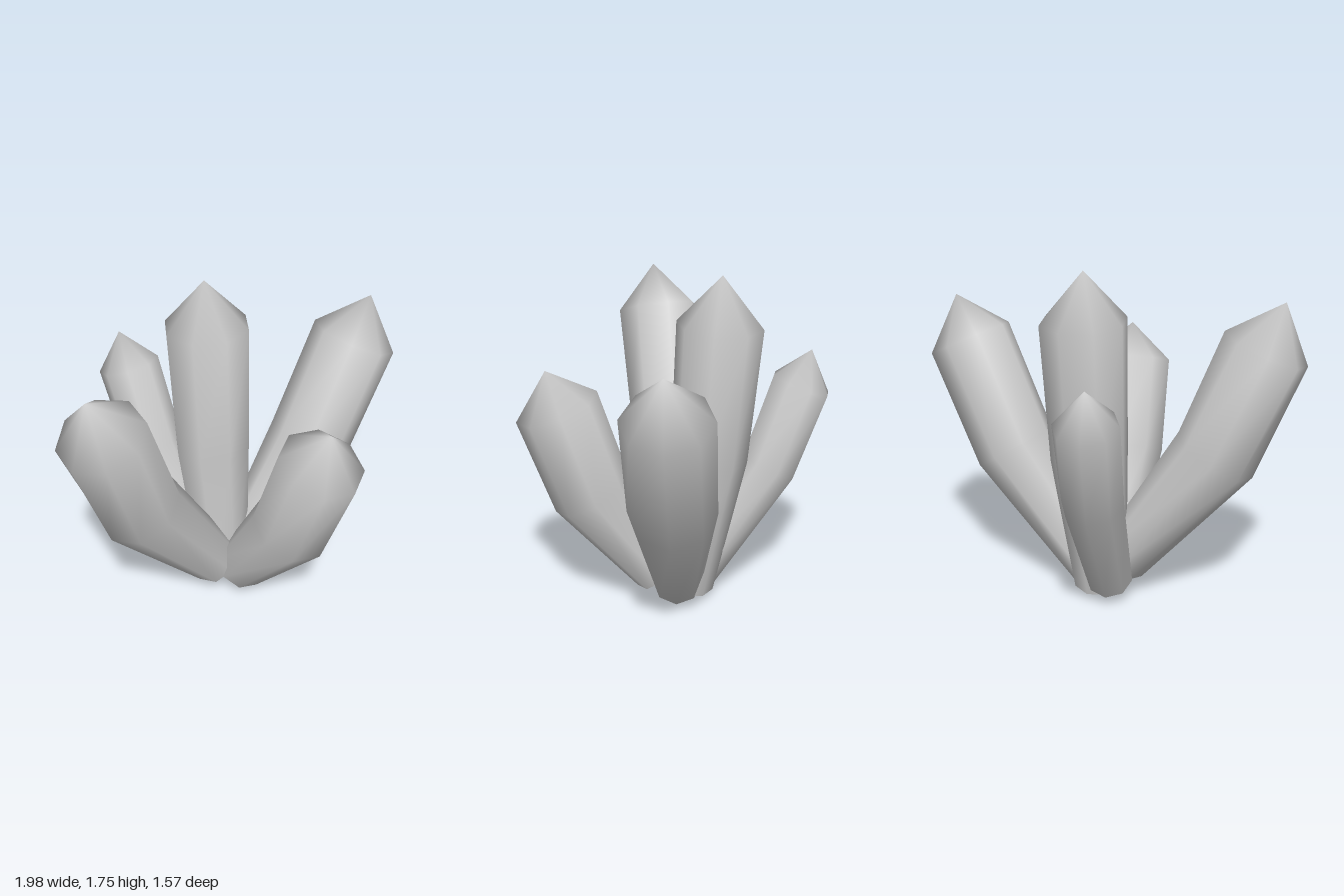
import * as THREE from 'three';

const SIDES = 8;

// One bent crystal: base, bend and shoulder rings [x, y, z, radius], then a pointed tip [x, y, z].
function crystalGeometry(rings, tip) {
  const centres = rings.map(([x, y, z]) => new THREE.Vector3(x, y, z));
  const dirs = centres.slice(1).map((c, i) => c.clone().sub(centres[i]).normalize());
  const pos = [];
  const idx = [];

  const addRing = (i) => {
    // ring lies square to the axis, halfway between both segments at the bend
    const before = dirs[Math.max(i - 1, 0)];
    const after = dirs[Math.min(i, dirs.length - 1)];
    const axis = before.clone().add(after).normalize();
    const side = new THREE.Vector3(0, 1, 0).cross(axis).normalize();
    const up = axis.clone().cross(side);
    for (let k = 0; k < SIDES; k++) {
      const a = (k / SIDES) * Math.PI * 2;
      const p = centres[i].clone()
        .addScaledVector(side, rings[i][3] * Math.cos(a))
        .addScaledVector(up, rings[i][3] * Math.sin(a));
      pos.push(p.x, p.y, p.z);
    }
  };

  rings.forEach((_, i) => addRing(i));
  const apex = pos.length / 3;
  pos.push(...tip);
  const cap = apex + 1; // separate ring keeps the base edge crisp
  addRing(0);
  const capCentre = pos.length / 3;
  pos.push(...centres[0].toArray());

  for (let k = 0; k < SIDES; k++) {
    const n = (k + 1) % SIDES;
    for (let i = 0; i < rings.length - 1; i++) {
      const lo = i * SIDES;
      const hi = lo + SIDES;
      idx.push(lo + k, lo + n, hi + n, lo + k, hi + n, hi + k);
    }
    const top = (rings.length - 1) * SIDES;
    idx.push(top + k, top + n, apex);
    idx.push(cap + n, cap + k, capCentre);
  }

  const geo = new THREE.BufferGeometry();
  geo.setAttribute('position', new THREE.Float32BufferAttribute(pos, 3));
  geo.setIndex(idx);
  geo.computeVertexNormals();
  return geo;
}

const CRYSTALS = [
  { name: 'centreCrystal', tip: [0.01, 1.75, -0.23],
    rings: [[0, 0.05, -0.06, 0.14], [0.01, 0.8, -0.17, 0.2], [0.015, 1.5, -0.22, 0.22]] },
  { name: 'rightCrystal', tip: [-0.87, 1.6, 0.18],
    rings: [[-0.09, 0.17, 0.0, 0.14], [-0.575, 0.815, 0.07, 0.217], [-0.79, 1.37, 0.15, 0.22]] },
  { name: 'leftCrystal', tip: [0.88, 1.505, 0],
    rings: [[0.04, 0.08, -0.01, 0.13], [0.53, 0.715, -0.015, 0.22], [0.795, 1.28, -0.01, 0.222]] },
  { name: 'frontCrystal', tip: [0.15, 1.29, 0.64],
    rings: [[0.02, 0.14, 0.09, 0.14], [0.1, 0.625, 0.43, 0.212], [0.14, 1.1, 0.59, 0.217]] },
  { name: 'backCrystal', tip: [-0.23, 1.31, -0.69],
    rings: [[-0.08, 0.11, -0.12, 0.12], [-0.165, 0.69, -0.485, 0.155], [-0.21, 1.13, -0.64, 0.16]] },
];

export function createModel() {
  const group = new THREE.Group();
  group.name = 'crystalCluster';
  const material = new THREE.MeshStandardMaterial({ color: 0xcccccc });
  for (const { name, rings, tip } of CRYSTALS) {
    const mesh = new THREE.Mesh(crystalGeometry(rings, tip), material);
    mesh.name = name;
    group.add(mesh);
  }
  return group;
}
